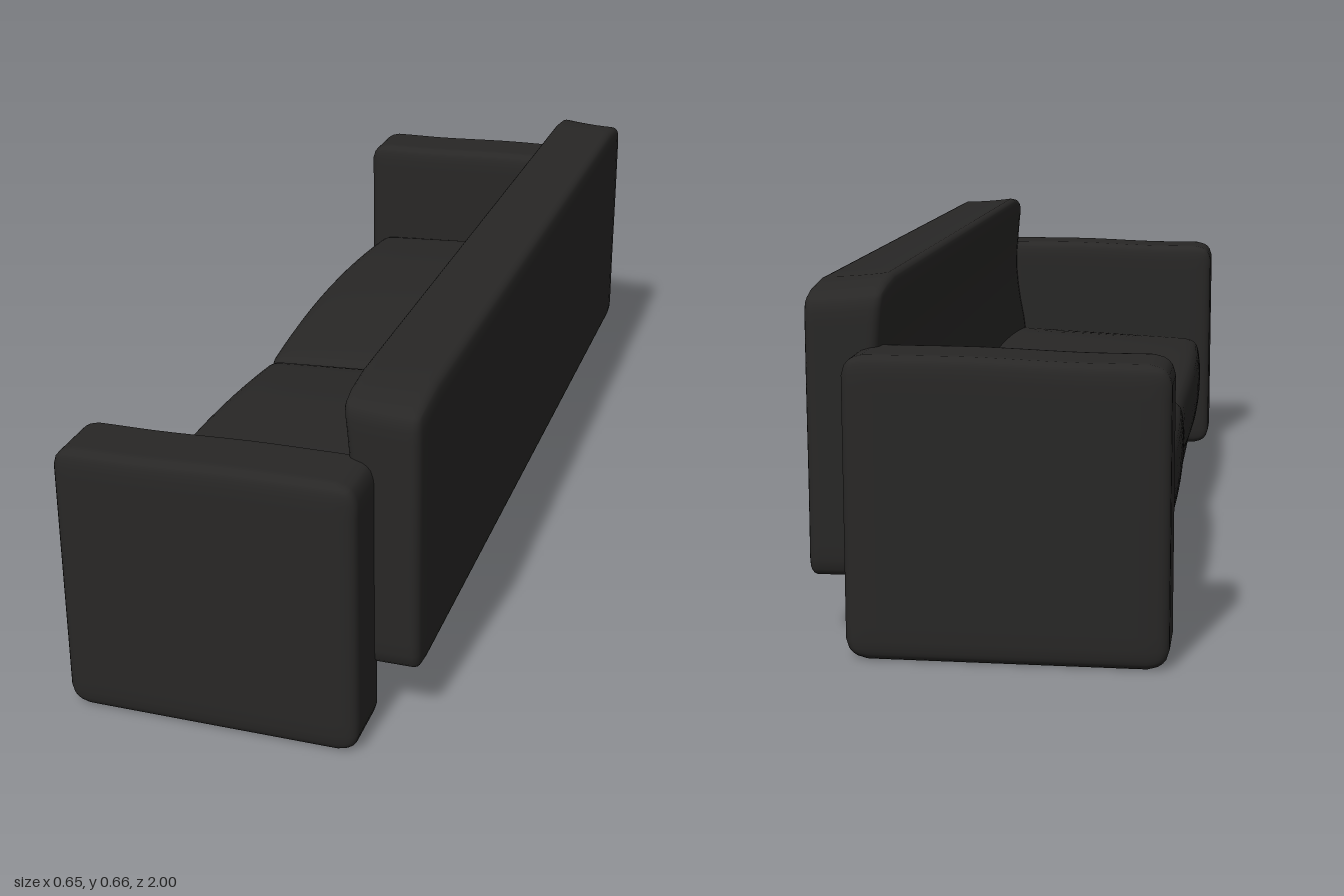
import * as THREE from 'three';
import { mergeVertices } from 'three/addons/utils/BufferGeometryUtils.js';

const fabric = new THREE.MeshStandardMaterial({ color: 0x282726 });
const grey = new THREE.MeshStandardMaterial({ color: 0xcccccc });

// Rounded block between two corners, with its own radius per axis;
// rule(p, u) then reshapes it, u running from -1 to 1 on each axis
function softBlock(name, material, min, max, radius, rule, n = 18) {
  const lo = new THREE.Vector3(...min), hi = new THREE.Vector3(...max);
  const half = hi.clone().sub(lo).multiplyScalar(0.5);
  const centre = lo.clone().add(hi).multiplyScalar(0.5);
  const r = new THREE.Vector3(...radius);
  const flat = half.clone().sub(r);
  let geo = new THREE.BoxGeometry(2, 2, 2, n, n, n);
  geo.deleteAttribute('uv');
  geo.deleteAttribute('normal');
  geo = mergeVertices(geo);
  const pos = geo.attributes.position;
  const p = new THREE.Vector3(), inner = new THREE.Vector3(), u = new THREE.Vector3();
  for (let i = 0; i < pos.count; i++) {
    p.fromBufferAttribute(pos, i);
    // crowd the grid towards the edges, where the rounding is
    p.set(...p.toArray().map(t => Math.sin(t * Math.PI / 2))).multiply(half);
    inner.copy(p).clamp(flat.clone().negate(), flat);
    p.sub(inner).divide(r).normalize().multiply(r).add(inner);
    u.copy(p).divide(half);
    p.add(centre);
    if (rule) rule(p, u);
    pos.setXYZ(i, p.x, p.y, p.z);
  }
  geo.computeVertexNormals();
  const mesh = new THREE.Mesh(geo, material);
  mesh.name = name;
  return mesh;
}

const smooth = THREE.MathUtils.smoothstep;

export function createModel() {
  const sofa = new THREE.Group();
  sofa.name = 'sofa';

  // Arms: square slabs whose top rises slightly towards the back
  for (const [name, z0, z1] of [['armPositiveZ', 0.857, 1], ['armNegativeZ', -1, -0.857]]) {
    sofa.add(softBlock(name, fabric, [-0.325, 0.003, z0], [0.24, 0.535, z1], [0.042, 0.036, 0.02],
      (p, u) => { if (u.y > 0) p.y += 0.007 * u.y * smooth(p.x, -0.2, 0.05); }));
  }

  // Backrest: front bellies over the seat, hollows above it and curls out at the top
  const front = new THREE.SplineCurve([
    [0.12, 0.195], [0.2, 0.175], [0.3, 0.165], [0.43, 0.18], [0.54, 0.19], [0.6, 0.185], [0.66, 0.177],
  ].map(([y, x]) => new THREE.Vector2(y, x)));
  sofa.add(softBlock('backrest', fabric, [0.18, 0.122, -0.913], [0.326, 0.652, 0.89], [0.018, 0.03, 0.04],
    (p, u) => {
      const toFront = (1 - u.x) / 2;
      const profile = front.getPoint(THREE.MathUtils.clamp((p.y - 0.12) / 0.54, 0, 1));
      p.x += toFront * (profile.y - 0.18);
      const top = smooth(p.y, 0.5, 0.64);
      p.y += top * (0.012 * toFront * toFront + 0.003 * u.z - 0.015 * smooth(Math.abs(u.z), 0.88, 1));
    }));

  // Seat cushions: crowned top and bowed front
  const puff = (p, u) => {
    const bowZ = 1 - u.z * u.z, bowX = 1 - u.x * u.x;
    if (u.y > 0) p.y += u.y * (0.02 * bowZ + 0.012 * bowX * bowZ + 0.012 * u.x);
    if (u.x < 0) p.x += u.x * (0.014 * bowZ + 0.012 * (1 - u.y * u.y));
  };
  const radius = [0.025, 0.025, 0.018];
  sofa.add(softBlock('cushionPositiveZ', fabric, [-0.288, 0.14, 0.001], [0.2, 0.3, 0.862], radius, puff));
  sofa.add(softBlock('cushionNegativeZ', fabric, [-0.288, 0.15, -0.862], [0.2, 0.3, -0.005], radius, puff));

  // Seat bases under the cushions
  const baseRadius = [0.012, 0.012, 0.012];
  sofa.add(softBlock('basePositiveZ', fabric, [-0.285, 0.06, 0.003], [0.18, 0.22, 0.865], baseRadius, null, 8));
  sofa.add(softBlock('baseNegativeZ', grey, [-0.285, 0.06, -0.865], [0.18, 0.22, -0.01], baseRadius, null, 8));

  return sofa;
}
